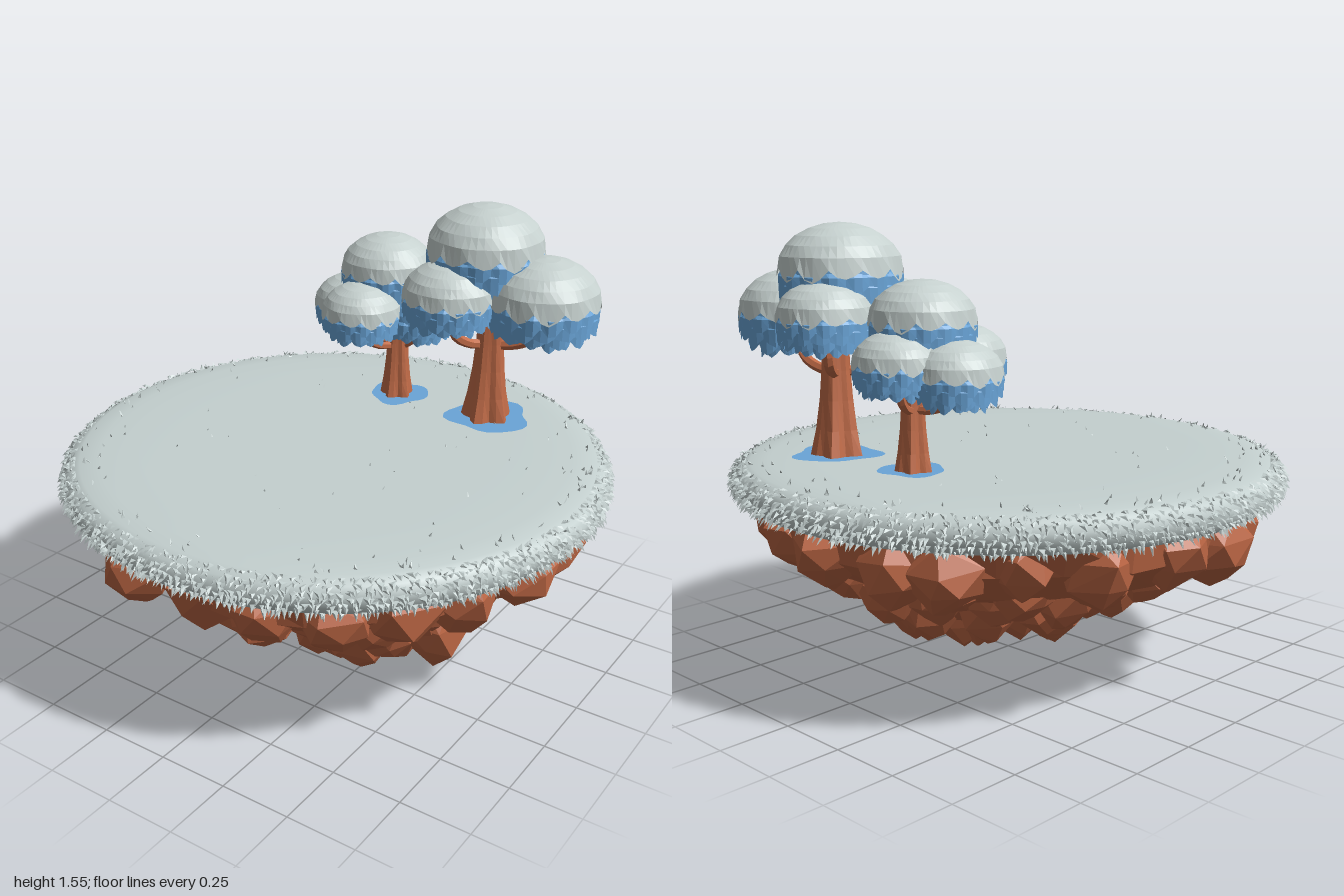
import * as THREE from 'three';
import { mergeGeometries } from 'three/addons/utils/BufferGeometryUtils.js';
import { ConvexGeometry } from 'three/addons/geometries/ConvexGeometry.js';

const TAU = Math.PI * 2;

export function createModel() {
  const mat = (name, color, extra = {}) => {
    const m = new THREE.MeshStandardMaterial({ color, ...extra });
    m.name = name;
    return m;
  };
  const ds = THREE.DoubleSide;
  const snow = mat('snow', 0xc4d0cf, { side: ds });
  const leaf = mat('blue leaf', 0x6aa5d8, { flatShading: true, side: ds });
  const cap = mat('leaf snow', 0xc6d1cf, { flatShading: true, side: ds });
  const rock = mat('rock', 0xba6543, { flatShading: true });
  const bark = mat('bark', 0xc26c48, { flatShading: true, side: ds });

  let seed = 7;
  const rnd = (a = 0, b = 1) => {
    seed = (seed * 16807) % 2147483647;
    return a + (b - a) * (seed / 2147483647);
  };
  const model = new THREE.Group();
  const add = (parent, name, geo, material) => {
    const m = new THREE.Mesh(geo, material);
    m.name = name;
    parent.add(m);
    return m;
  };

  // Closed surface around the y axis; fn(row, angle) gives [radius, y], top row first
  function ringSurface(rows, cols, fn) {
    const pos = [], idx = [];
    for (let i = 0; i <= rows; i++) {
      for (let j = 0; j < cols; j++) {
        const a = (j / cols) * TAU, [r, y] = fn(i, a);
        pos.push(r * Math.sin(a), y, r * Math.cos(a));
        if (i === rows) continue;
        const k = (j + 1) % cols, p = i * cols, q = p + cols;
        idx.push(p + j, q + j, q + k, p + j, q + k, p + k);
      }
    }
    const g = new THREE.BufferGeometry();
    g.setAttribute('position', new THREE.Float32BufferAttribute(pos, 3));
    g.setIndex(idx);
    g.computeVertexNormals();
    return g;
  }

  // Snowy ground with a rounded rim
  const rim = [[0.9, 0.61], [0.94, 0.62], [0.967, 0.655], [0.968, 0.69], [0.95, 0.72],
    [0.91, 0.738], [0.84, 0.744], [0.7, 0.75], [0.4, 0.75], [0, 0.75]].map(p => new THREE.Vector2(...p));
  add(model, 'ground', new THREE.LatheGeometry(rim, 96), snow);

  // Short folded blades: shaggy on the rim, sparse on the top
  const blades = [];
  function blade(base, side, out, w) {
    const tip = base.clone().add(out);
    const l = base.clone().addScaledVector(side, -w), r = base.clone().addScaledVector(side, w);
    const ridge = base.clone().addScaledVector(out, 0.45)
      .addScaledVector(new THREE.Vector3().crossVectors(side, out).normalize(), -w * 0.6);
    for (const v of [l, tip, ridge, ridge, tip, r, l, ridge, r]) blades.push(v.x, v.y, v.z);
  }
  const rimRows = [[0.935, 0.632], [0.957, 0.65], [0.968, 0.67], [0.968, 0.69], [0.96, 0.708], [0.945, 0.722], [0.925, 0.733]];
  rimRows.forEach(([r, y], i) => {
    for (let k = 0; k < 300; k++) {
      const a = ((k + rnd(-0.5, 0.5)) / 300) * TAU;
      const dir = new THREE.Vector3(Math.sin(a), 0, Math.cos(a));
      const side = new THREE.Vector3(Math.cos(a), rnd(-0.5, 0.5), -Math.sin(a)).normalize();
      const out = dir.clone().multiplyScalar(rnd(0.012, 0.028)).add(new THREE.Vector3(0, rnd(-0.036, -0.01) + i * 0.002, 0));
      out.addScaledVector(side, rnd(-0.012, 0.012));
      blade(dir.multiplyScalar(r).setY(y + rnd(-0.006, 0.006)), side, out, rnd(0.008, 0.014));
    }
  });
  for (let k = 0; k < 260; k++) {
    const a = rnd(0, TAU), r = k < 215 ? 0.95 - 0.16 * rnd() * rnd() : 0.9 * Math.sqrt(rnd());
    const s = rnd(0, TAU);
    blade(new THREE.Vector3(r * Math.sin(a), r > 0.91 ? 0.72 : 0.74, r * Math.cos(a)),
      new THREE.Vector3(Math.cos(s), 0, -Math.sin(s)),
      new THREE.Vector3(rnd(-0.014, 0.014), rnd(0.014, 0.024), rnd(-0.014, 0.014)), 0.007);
  }
  const grass = new THREE.BufferGeometry();
  grass.setAttribute('position', new THREE.Float32BufferAttribute(blades, 3));
  grass.computeVertexNormals();
  add(model, 'grassBlades', grass, snow);

  // Rock core, leaning toward +x as it goes down
  const core = [[0.91, 0.64], [0.88, 0.52], [0.74, 0.41], [0.55, 0.33], [0.42, 0.22], [0.27, 0.13], [0, 0.1]];
  const coreGeo = ringSurface(6, 26, i => [core[i][0] * rnd(0.95, 1), core[i][1]]);
  const cp = coreGeo.attributes.position;
  for (let i = 0; i < cp.count; i++) cp.setX(i, cp.getX(i) + Math.max(0, 0.4 - cp.getY(i)) * 0.6);
  add(model, 'rockCore', coreGeo, rock);

  // Faceted boulders that taper downward
  function boulder(x, y, z, w, h) {
    const pts = [];
    const turn = rnd(0, TAU);
    [[0.62, 0.9, 5], [0.98, 0.35, 6], [0.85, -0.3, 6], [0.42, -0.8, 4], [0.06, -1, 1]].forEach(([r, v, n], row) => {
      for (let k = 0; k < n; k++) {
        const a = turn + row * 0.5 + ((k + rnd(-0.25, 0.25)) / n) * TAU, s = r * w * rnd(0.88, 1.08);
        pts.push(new THREE.Vector3(x + Math.sin(a) * s, y + h * (v + (n > 1 ? rnd(-0.12, 0.12) : 0)), z + Math.cos(a) * s));
      }
    });
    return new ConvexGeometry(pts);
  }
  // Each ring: count, radius, y, centre x, width, height
  const boulders = [];
  [[22, 0.79, 0.525, 0, 0.135, 0.12], [18, 0.64, 0.42, 0.01, 0.125, 0.1], [16, 0.52, 0.345, 0.04, 0.125, 0.12],
    [12, 0.4, 0.26, 0.1, 0.13, 0.13], [8, 0.25, 0.19, 0.17, 0.13, 0.14]].forEach(([n, r, y, cx, w, h], row) => {
    for (let k = 0; k < n; k++) {
      const a = ((k + 0.5 * (row % 2) + rnd(-0.15, 0.15)) / n) * TAU, s = rnd(0.88, 1.12);
      const rr = r * rnd(0.97, 1.03);
      boulders.push(boulder(cx + rr * Math.sin(a), y + rnd(-0.02, 0.02), rr * Math.cos(a), w * s, h * s));
    }
  });
  for (const [x, z, low] of [[-0.2, 0.03, 0.06], [0.03, 0.2, 0.03], [0.03, -0.2, 0.04], [0.28, 0.02, 0],
    [0.48, 0.1, 0.03], [0.46, -0.14, 0.05], [0.27, 0.23, 0.02], [0.25, -0.23, 0.02]])
    boulders.push(boulder(x, low + 0.17, z, 0.15, 0.17));
  add(model, 'boulders', mergeGeometries(boulders), rock);

  // Foliage clump: layered scalloped skirts under a dome, with a snow cap
  function clump(parent, x, top, z, r, snowy = true) {
    const g = new THREE.Group();
    g.name = 'leafClump';
    g.position.set(x, top - 0.76 * r, z);
    g.rotation.y = rnd(0, TAU);
    parent.add(g);
    const cols = 48;
    const lobe = (a, n, p) => Math.abs(Math.sin(a * n / 2 + p)) * (0.85 + 0.25 * Math.sin(a * 3 + p * 2));
    const dome = (s, end, drop) => ringSurface(6, cols, (i, a) => {
      const phi = (i / 6) * end;
      const wob = i && i < 6 ? 1 + 0.012 * Math.sin(a * 7 + i * 2) : 1;
      return [r * s * Math.sin(phi) * wob, r * (0.76 * s * Math.cos(phi) - (i === 6 ? drop * lobe(a, 12, 0) : 0))];
    });
    const layers = [dome(0.96, 1.6, 0)];
    [[0.9, 0.08, 1, -0.2], [0.9, -0.08, 0.98, -0.36], [0.8, -0.25, 0.86, -0.5], [0.6, -0.35, 0.64, -0.6]]
      .forEach(([r0, y0, r1, y1], t) => layers.push(ringSurface(2, cols, (i, a) => {
        const l = lobe(a, t < 2 ? 16 : 12, t * 0.8);
        return i === 0 ? [r * r0, r * y0]
          : i === 1 ? [r * (r1 * 0.97 + 0.05 * l), r * (y0 + y1) / 2]
            : [r * (r1 - 0.03 + 0.04 * l), r * (y1 - 0.16 * l)];
      })));
    const under = [[0.94, -0.1], [0.8, -0.4], [0.5, -0.58], [0, -0.62]];
    layers.push(ringSurface(3, cols, i => [r * under[i][0], r * under[i][1]]));
    add(g, 'leaves', mergeGeometries(layers), leaf);
    if (snowy) add(g, 'snowCap', dome(1.02, 1.5, 0.2), cap);
  }

  // Tree: fluted trunk, curved branches, clumps and a bare patch at the foot
  function tree(name, x, z, rBase, rTop, topY, branchY, clumps, patchR) {
    const g = new THREE.Group();
    g.name = name;
    model.add(g);
    const y0 = 0.74;
    const trunk = add(g, 'trunk', ringSurface(6, 20, (i, a) => {
      const t = 1 - i / 6, flare = (1 - t) ** 3;
      const flute = 1 + (0.08 + 0.1 * flare) * Math.cos(a * 5 + t);
      return [(rTop + (rBase - rTop) * flare) * flute, y0 + (topY - y0) * t];
    }), bark);
    trunk.position.set(x, 0, z);
    clumps.forEach(([cx, top, cz, r, snowy], i) => {
      clump(g, cx, top, cz, r, snowy);
      if (i === 0) return;
      const at = (t, y) => new THREE.Vector3(x + (cx - x) * t, y, z + (cz - z) * t);
      const end = top - r * 1.1;
      const path = new THREE.CatmullRomCurve3([at(0, branchY), at(0.5, branchY + 0.012), at(0.85, branchY + 0.05), at(0.95, Math.max(end, branchY + 0.1))]);
      add(g, 'branch', new THREE.TubeGeometry(path, 10, rTop * 0.42, 6), bark);
    });
    const shape = new THREE.Shape(Array.from({ length: 28 }, (_, k) => {
      const a = (k / 28) * TAU, r = patchR * (1 + 0.1 * Math.sin(a * 3 + x * 9) + 0.06 * Math.cos(a * 5));
      return new THREE.Vector2(r * Math.cos(a), r * Math.sin(a));
    }));
    const patch = add(g, 'groundPatch', new THREE.ShapeGeometry(shape), leaf);
    patch.rotation.x = -Math.PI / 2;
    patch.position.set(x + 0.01, 0.754, z);
  }
  tree('largeTree', 0.34, -0.5, 0.085, 0.043, 1.36, 1.04, [
    [0.3, 1.55, -0.505, 0.21], [0.53, 1.39, -0.52, 0.2], [0.24, 1.37, -0.365, 0.17], [0.23, 1.37, -0.625, 0.165]], 0.15);
  tree('smallTree', -0.055, -0.5, 0.058, 0.035, 1.2, 0.955, [
    [-0.11, 1.38, -0.505, 0.173], [-0.12, 1.23, -0.345, 0.148], [-0.12, 1.23, -0.62, 0.145],
    [-0.26, 1.2, -0.5, 0.148], [0.035, 1.2, -0.5, 0.135, false]], 0.11);

  return model;
}
